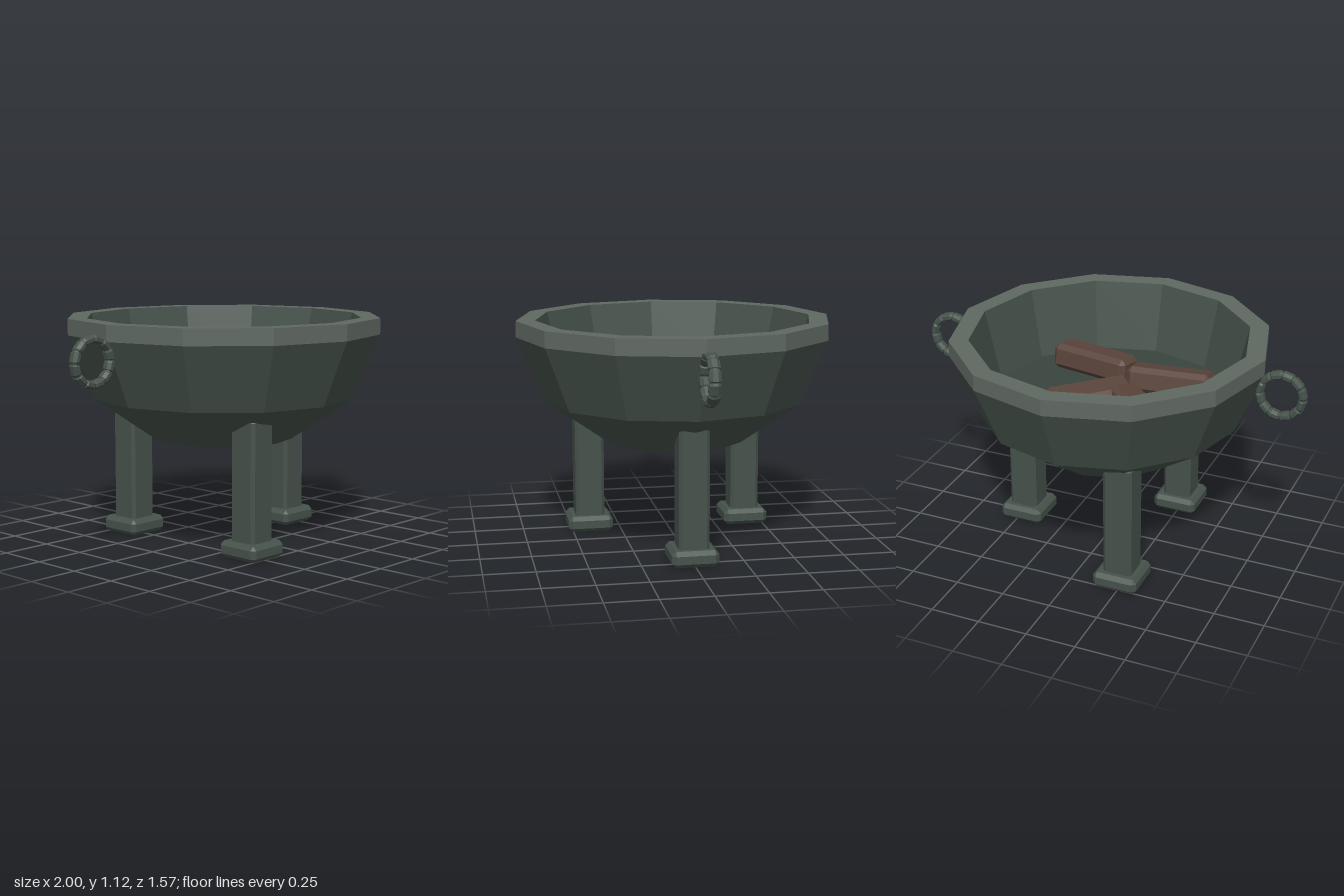
import * as THREE from 'three';
import { ConvexGeometry } from 'three/addons/geometries/ConvexGeometry.js';

const material = (color) =>
  new THREE.MeshStandardMaterial({ color, flatShading: true });

// Box with every edge cut by a single chamfer c
function chamferBox(w, h, d, c) {
  const points = [];
  for (const sx of [-1, 1]) for (const sy of [-1, 1]) for (const sz of [-1, 1]) {
    const x = w / 2, y = h / 2, z = d / 2;
    points.push(
      new THREE.Vector3(sx * x, sy * (y - c), sz * (z - c)),
      new THREE.Vector3(sx * (x - c), sy * y, sz * (z - c)),
      new THREE.Vector3(sx * (x - c), sy * (y - c), sz * z));
  }
  return new ConvexGeometry(points);
}

// Twelve-sided lathe from [radius, height] pairs
const turned = (profile) =>
  new THREE.LatheGeometry(profile.map(([r, y]) => new THREE.Vector2(r, y)), 12);

// Ring of chamfered links separated by narrow grooves
function linkRing(radius, halfWidth, halfDepth, links) {
  const tubular = links * 4, radial = 8;
  const geometry = new THREE.TorusGeometry(radius, 0.02, radial, tubular);
  const pos = geometry.attributes.position;
  const steps = [0, 0.08, 0.16, 0.84]; // groove, shoulder, link, shoulder
  const scales = [0.78, 0.78, 1, 1];
  for (let j = 0; j <= radial; j++) {
    const v = ((j + 0.5) / radial) * Math.PI * 2;
    const k = 1 / Math.cos(Math.PI / radial);
    for (let i = 0; i <= tubular; i++) {
      const u = ((Math.floor(i / 4) + steps[i % 4]) / links) * Math.PI * 2;
      const s = scales[i % 4] * k;
      const r = radius + Math.cos(v) * halfWidth * s;
      pos.setXYZ(j * (tubular + 1) + i,
        Math.cos(u) * r, Math.sin(u) * r, Math.sin(v) * halfDepth * s);
    }
  }
  geometry.computeVertexNormals();
  return geometry;
}

export function createModel() {
  const model = new THREE.Group();
  model.name = 'brazier';
  const iron = material(0x46524b);
  const wornIron = material(0x5f6862);
  const ash = material(0x3a443e);
  const wood = material(0x5a443b);

  const add = (parent, name, geometry, mat, x = 0, y = 0, z = 0) => {
    const mesh = new THREE.Mesh(geometry, mat);
    mesh.name = name;
    mesh.position.set(x, y, z);
    parent.add(mesh);
    return mesh;
  };

  // Bowl: outside, rim, inner wall and floor
  add(model, 'bowlOutside',
    turned([[0, 0.51], [0.35, 0.51], [0.65, 0.72], [0.785, 1.04]]), iron);
  add(model, 'rim', turned([[0.785, 1.04], [0.785, 1.12], [0.69, 1.12]]), wornIron);
  add(model, 'bowlInside', turned([[0.69, 1.12], [0.61, 0.77]]), iron);
  add(model, 'bowlFloor', turned([[0.61, 0.77], [0, 0.77]]), ash);

  // Three square legs on wider feet
  const legGeometry = chamferBox(0.148, 0.62, 0.148, 0.015);
  const footGeometry = chamferBox(0.228, 0.08, 0.228, 0.02);
  for (let i = 0; i < 3; i++) {
    const angle = (i / 3) * Math.PI * 2;
    const leg = new THREE.Group();
    leg.name = 'leg' + (i + 1);
    leg.position.set(Math.cos(angle) * 0.472, 0, Math.sin(angle) * 0.472);
    add(leg, 'legPost', legGeometry, iron, 0, 0.36, 0);
    add(leg, 'foot', footGeometry, iron, 0, 0.04, 0);
    model.add(leg);
  }

  // Ring handles on both sides
  const ringGeometry = linkRing(0.106, 0.02, 0.028, 12);
  for (const side of [-1, 1]) {
    add(model, side > 0 ? 'leftRing' : 'rightRing', ringGeometry, iron,
      side * 0.873, 0.955, 0);
  }

  // Logs on the floor: x, z, turn about y, roll about their length
  const logGeometry = chamferBox(0.43, 0.13, 0.155, 0.025);
  [
    [-0.25, -0.215, -0.7, 0.2],
    [0.04, -0.17, 0.78, -0.15],
    [-0.255, 0.16, 0.13, 0.22],
    [0.185, 0.23, -0.17, 0.12],
  ].forEach(([x, z, turn, roll], i) => {
    const log = add(model, 'log' + (i + 1), logGeometry, wood, x, 0.84, z);
    log.rotation.set(roll, turn, 0, 'YXZ');
  });

  return model;
}
